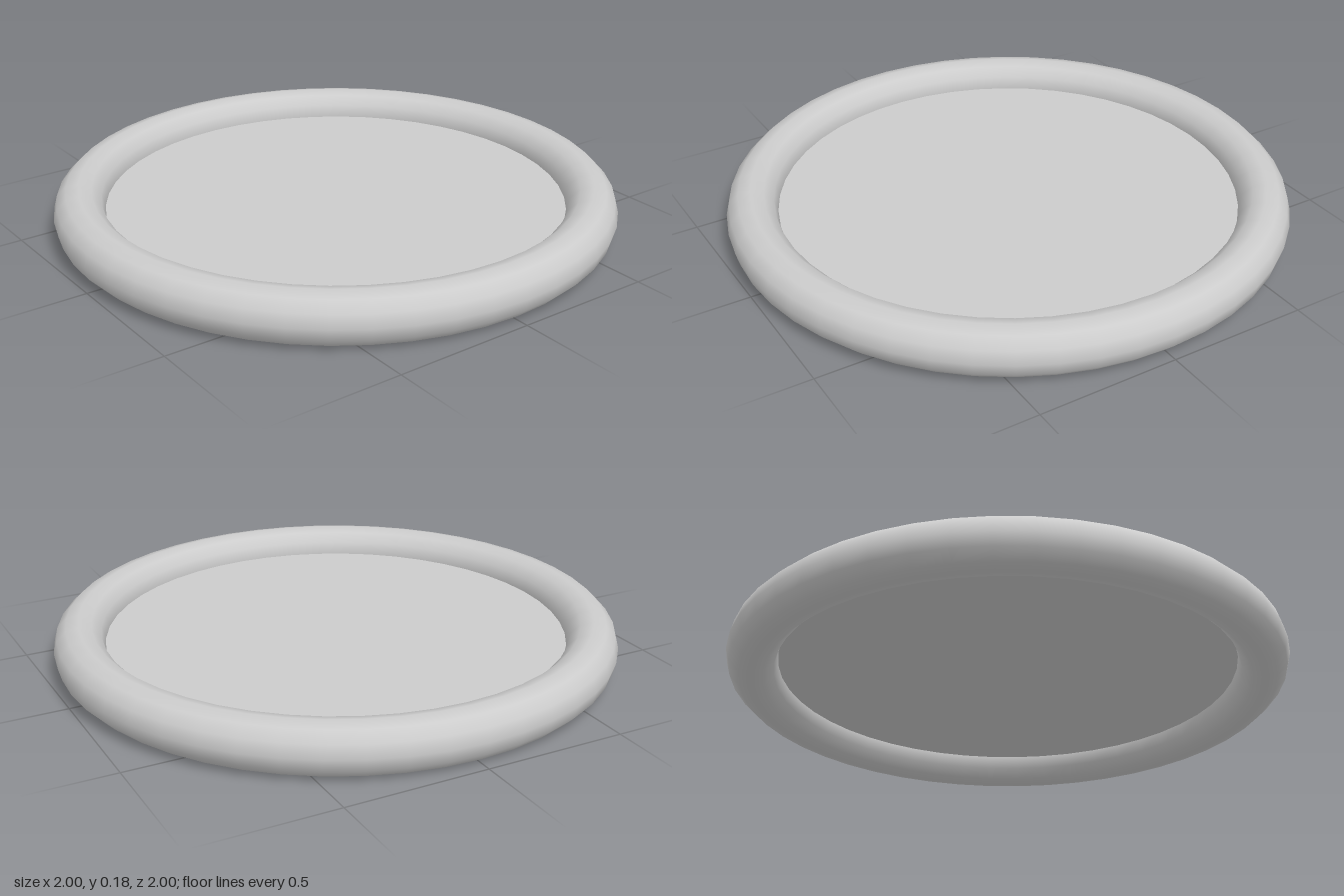
import * as THREE from 'three';

export function createModel() {
  const group = new THREE.Group();
  const tube = 0.09, ringRadius = 0.91, segments = 48;

  // Rounded rim lying flat on the ground
  const rim = new THREE.Mesh(
    new THREE.TorusGeometry(ringRadius, tube, 12, segments),
    new THREE.MeshStandardMaterial({ color: 0xcccccc })
  );
  rim.name = 'rim';

  // Thin flat panel closing the ring at mid height
  const panel = new THREE.Mesh(
    new THREE.CircleGeometry(ringRadius - tube, segments),
    new THREE.MeshStandardMaterial({ color: 0xcccccc, side: THREE.DoubleSide })
  );
  panel.name = 'panel';

  for (const part of [rim, panel]) {
    part.rotation.x = -Math.PI / 2;
    part.position.y = tube;
    group.add(part);
  }
  return group;
}
